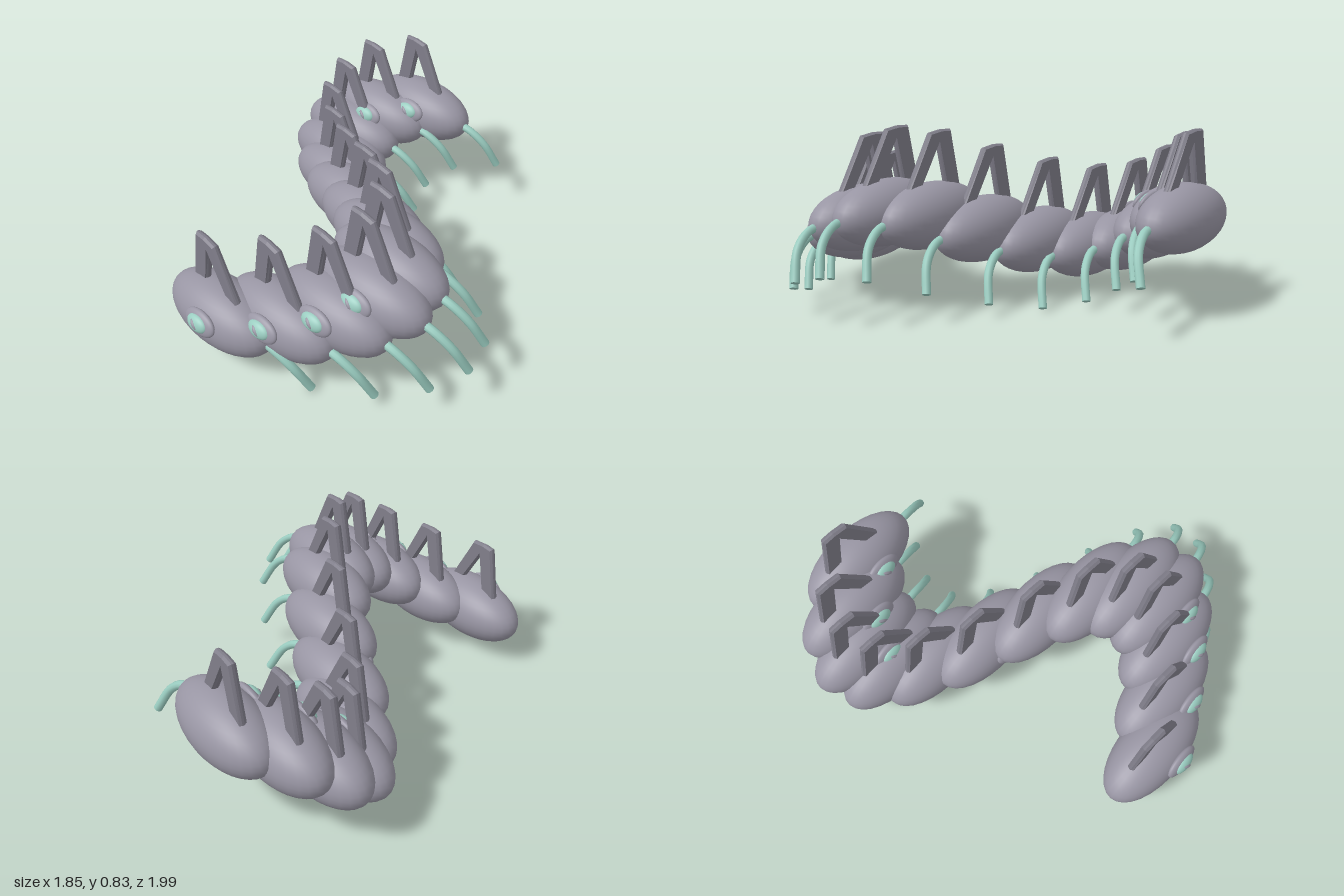
import * as THREE from 'three';

// Segment centres from front to back: x and y (z is evenly spaced)
const SEG_X = [-0.097, 0.15, 0.337, 0.43, 0.405, 0.265, 0.047, -0.21, -0.43, -0.58, -0.615, -0.537, -0.355];
const SEG_Y = [0.215, 0.25, 0.325, 0.4, 0.44, 0.42, 0.34, 0.26, 0.215, 0.24, 0.315, 0.4, 0.44];

export function createModel() {
  const model = new THREE.Group();
  model.name = 'segmentedCreature';

  const shellGrey = new THREE.MeshStandardMaterial({ color: 0x9895a3 });
  shellGrey.name = 'shellGrey';
  const spineGrey = new THREE.MeshStandardMaterial({ color: 0x807e8a, flatShading: true });
  spineGrey.name = 'spineGrey';
  const paleTeal = new THREE.MeshStandardMaterial({ color: 0x9accc0 });
  paleTeal.name = 'paleTeal';

  const add = (parent, name, geometry, material) => {
    const mesh = new THREE.Mesh(geometry, material);
    mesh.name = name;
    parent.add(mesh);
    return mesh;
  };
  const ellipsoid = (rx, ry, rz) => new THREE.SphereGeometry(1, 32, 20).scale(rx, ry, rz);

  // Shared geometries
  const bodyGeo = ellipsoid(0.31, 0.155, 0.155);
  const rimGeo = ellipsoid(0.095, 0.058, 0.026);
  const irisGeo = ellipsoid(0.062, 0.04, 0.028);
  const pupilGeo = ellipsoid(0.032, 0.014, 0.022);

  // Drooping leg: an arc whose plane leans backwards
  const legPath = new THREE.CatmullRomCurve3(
    [[0.26, 0.005], [0.34, -0.012], [0.42, -0.075], [0.478, -0.2]]
      .map(([x, y]) => new THREE.Vector3(x, y, y * 0.4)));
  const legGeo = new THREE.TubeGeometry(legPath, 14, 0.02, 10);
  const legTipGeo = new THREE.CircleGeometry(0.02, 10);

  // A-shaped spine with two splayed feet
  const outline = new THREE.Shape([
    [-0.18, 0.06], [-0.113, 0.383], [-0.06, 0.385], [0.005, 0.375], [0.175, 0.06],
    [0.1, 0.09], [-0.045, 0.34], [-0.1, 0.09],
  ].map(([x, y]) => new THREE.Vector2(x, y)));
  const spineGeo = new THREE.ExtrudeGeometry(outline, {
    depth: 0.01, bevelEnabled: true, bevelThickness: 0.012, bevelSize: 0.008, bevelSegments: 1,
  }).translate(0, 0, -0.005);

  SEG_X.forEach((x, i) => {
    const segment = new THREE.Group();
    segment.name = `segment${i + 1}`;
    segment.position.set(x, SEG_Y[i], 0.8 - i * 0.137);
    model.add(segment);

    add(segment, 'body', bodyGeo, shellGrey);
    add(segment, 'spine', spineGeo, spineGrey).rotation.y = -0.07;

    // Leg with a flat closed tip
    add(segment, 'leg', legGeo, paleTeal);
    const tip = add(segment, 'legTip', legTipGeo, paleTeal);
    tip.position.copy(legPath.getPoint(1));
    tip.quaternion.setFromUnitVectors(new THREE.Vector3(0, 0, 1), legPath.getTangent(1));

    // Stacked eye on the front, tipped slightly upwards
    const eye = new THREE.Group();
    eye.name = 'eye';
    eye.position.set(0.03, 0.055, 0.145);
    eye.rotation.x = -0.33;
    segment.add(eye);
    add(eye, 'eyeRim', rimGeo, shellGrey);
    add(eye, 'iris', irisGeo, paleTeal).position.z = 0.013;
    const pupil = add(eye, 'pupil', pupilGeo, shellGrey);
    pupil.position.z = 0.024;
    pupil.rotation.z = -0.7;
  });

  return model;
}
